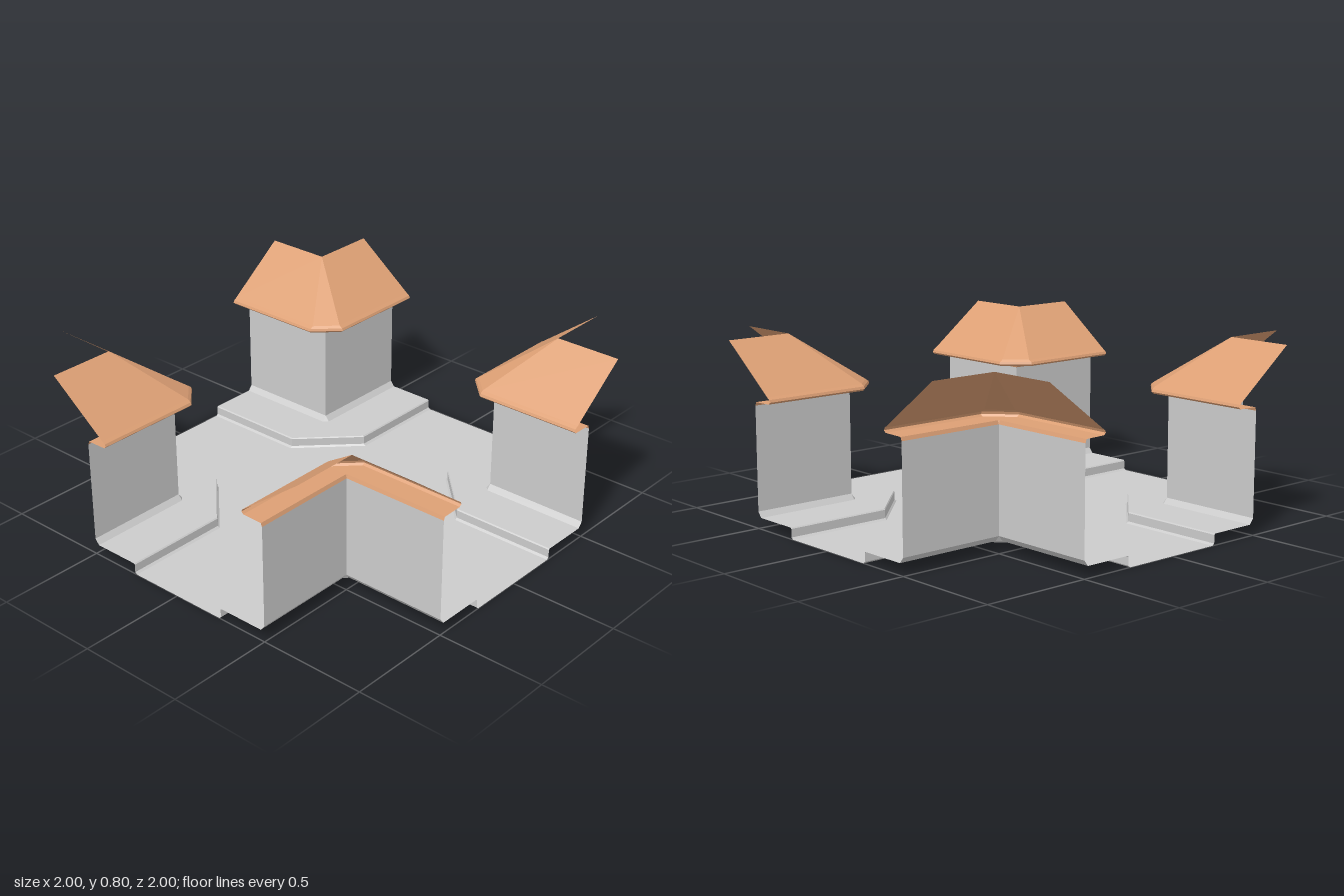
import * as THREE from 'three';

// Sweep a profile of [distance from road axis, height] around one street corner.
// Edges closer than 0.5 get a chamfered corner, edges further out a sharp one.
function cornerSweep(profile) {
  const rows = profile.map(([d, y]) => {
    const c = Math.max(d, 0.5);
    return [[d, 1], [d, c], [c, d], [1, d]].map(([x, z]) => new THREE.Vector3(x, y, z));
  });
  const points = [];
  const addTriangle = (a, b, c) => {
    if (new THREE.Triangle(a, b, c).getArea() > 1e-7) points.push(a, b, c);
  };
  for (let i = 0; i < rows.length - 1; i++) {
    for (let j = 0; j < 3; j++) {
      const a = rows[i][j], b = rows[i + 1][j], c = rows[i + 1][j + 1], d = rows[i][j + 1];
      addTriangle(a, b, d);
      addTriangle(b, c, d);
    }
  }
  const geometry = new THREE.BufferGeometry().setFromPoints(points);
  geometry.computeVertexNormals();
  return geometry;
}

export function createModel() {
  const model = new THREE.Group();
  model.name = 'crossroads';
  const grey = new THREE.MeshStandardMaterial({ color: 0xcccccc, side: THREE.DoubleSide, flatShading: true });
  const tile = new THREE.MeshStandardMaterial({ color: 0xdc9f74, side: THREE.DoubleSide, flatShading: true });

  // Cross-shaped road surface with chamfered inner corners
  const r = 0.245;
  const outline = [];
  for (let k = 0; k < 4; k++) {
    for (const [x, y] of [[1, r], [0.5, r], [r, 0.5], [r, 1]]) {
      outline.push(new THREE.Vector2(x, y).rotateAround(new THREE.Vector2(), k * Math.PI / 2));
    }
  }
  const road = new THREE.Mesh(new THREE.ShapeGeometry(new THREE.Shape(outline)).rotateX(-Math.PI / 2), grey);
  road.name = 'road';
  model.add(road);

  // Profiles run from the road outwards and upwards
  const parts = [
    ['pavement', grey, [[r, 0], [0.255, 0.008], [0.255, 0.045], [0.26, 0.05], [0.48, 0.05]]],
    ['wallFooting', grey, [[0.48, 0.05], [0.5, 0.075]]],
    ['wall', grey, [[0.5, 0.075], [0.5, 0.54]]],
    ['roof', tile, [[0.5, 0.54], [0.494, 0.556], [0.4, 0.558], [0.39, 0.567], [0.395, 0.578], [0.41, 0.588], [0.69, 0.8]]],
  ].map(([name, material, profile]) => ({ name, material, geometry: cornerSweep(profile) }));

  // The same building corner stands in all four quadrants
  ['frontLeft', 'backLeft', 'backRight', 'frontRight'].forEach((place, k) => {
    const corner = new THREE.Group();
    corner.name = place + 'Corner';
    for (const { name, material, geometry } of parts) {
      const mesh = new THREE.Mesh(geometry, material);
      mesh.name = name;
      corner.add(mesh);
    }
    corner.rotation.y = k * Math.PI / 2;
    model.add(corner);
  });
  return model;
}
